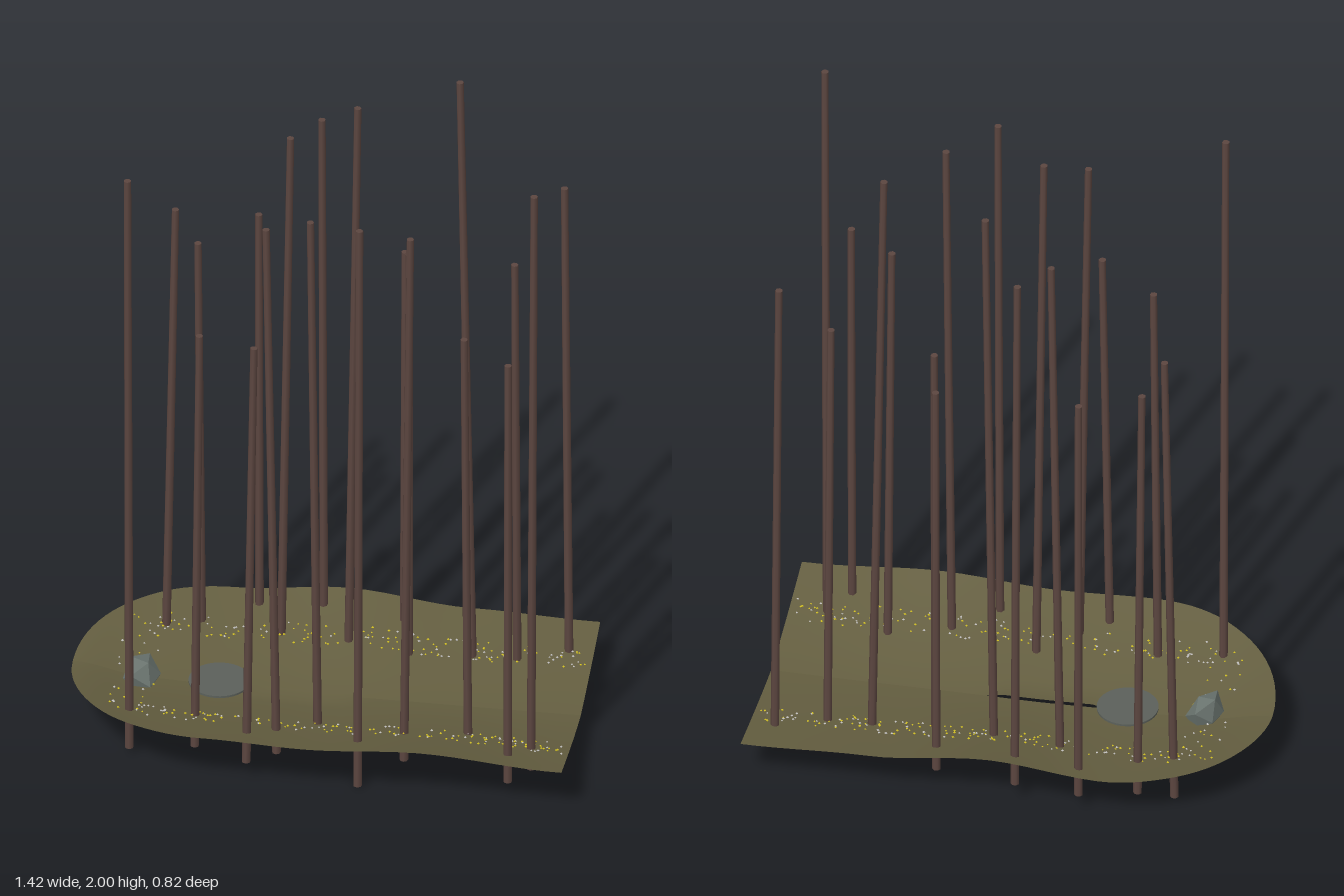
import * as THREE from 'three';
import { mergeGeometries } from 'three/addons/utils/BufferGeometryUtils.js';

const R = 0.41; // half width of the clearing
const ARC_X = -0.3; // centre of the rounded end

// Smooth interpolation through [x, y] points
function profile(points) {
  return (x) => {
    let i = 0;
    while (i < points.length - 2 && x > points[i + 1][0]) i++;
    const [a, b] = [points[i], points[i + 1]];
    return THREE.MathUtils.lerp(a[1], b[1], THREE.MathUtils.smoothstep(x, a[0], b[0]));
  };
}

// Heights of the valley floor and of its two rims
const floorY = profile([[-0.71, 0.145], [-0.5, 0.108], [-0.3, 0.1], [0, 0.092], [0.71, 0.086]]);
const frontRimY = profile([[-0.71, 0.21], [-0.3, 0.188], [0, 0.175], [0.3, 0.19], [0.71, 0.16]]);
const backRimY = profile([[-0.71, 0.19], [-0.3, 0.158], [0, 0.183], [0.35, 0.145], [0.71, 0.13]]);

function groundY(x, z) {
  const rim = z >= 0 ? frontRimY(x) : backRimY(x);
  const low = floorY(x);
  return low + (rim - low) * Math.pow(Math.abs(z) / R, 1.3);
}

// Small seeded random numbers
function seeded(seed) {
  return () => {
    seed = (seed * 16807) % 2147483647;
    return seed / 2147483647;
  };
}

// One half of the valley, from the centre line out to its rim
function groundHalf(side) {
  const columns = [];
  for (let i = 0; i < 20; i++) columns.push(ARC_X - R * Math.cos(0.02 + (i / 20) * (Math.PI / 2 - 0.02)));
  for (let i = 0; i <= 20; i++) columns.push(ARC_X + (i / 20) * (0.71 - ARC_X));
  const rows = 10;
  const position = [];
  const index = [];
  columns.forEach((x, i) => {
    const width = x < ARC_X ? Math.sqrt(R * R - (x - ARC_X) ** 2) : R;
    for (let j = 0; j <= rows; j++) {
      const z = (side * width * j) / rows;
      // narrow crack along the centre line
      const crack = side > 0 && j === 0 && x > -0.22 && x < 0.06 ? 0.01 : 0;
      position.push(x, groundY(x, z) + crack, z);
      if (i < columns.length - 1 && j < rows) {
        const a = i * (rows + 1) + j;
        const b = a + rows + 1;
        if (side > 0) index.push(a, a + 1, b, b, a + 1, b + 1);
        else index.push(a, b, a + 1, b, b + 1, a + 1);
      }
    }
  });
  const geometry = new THREE.BufferGeometry();
  geometry.setAttribute('position', new THREE.Float32BufferAttribute(position, 3));
  geometry.setIndex(index);
  geometry.computeVertexNormals();
  return geometry;
}

// Trunks: [base x, base z, base y, top x, top z, top y]
const BACK_TRUNKS = [
  [-0.235, -0.35, 0.06, -0.24, -0.373, 1.42],
  [-0.055, -0.35, 0.07, -0.058, -0.332, 1.775],
  [0.172, -0.328, 0.07, 0.176, -0.322, 1.365],
  [0.64, -0.28, 0.05, 0.625, -0.296, 1.63],
  [-0.482, -0.232, 0.005, -0.455, -0.238, 1.505],
  [-0.385, -0.268, 0.03, -0.394, -0.252, 1.39],
  [-0.16, -0.237, 0.07, -0.132, -0.228, 1.775],
  [0.03, -0.225, 0.06, 0.058, -0.213, 1.9],
  [0.202, -0.2, 0.06, 0.2, -0.225, 1.42],
  [0.378, -0.22, 0.06, 0.342, -0.228, 2.0],
  [0.502, -0.225, 0.07, 0.5, -0.19, 1.435],
];
const FRONT_TRUNKS = [
  [-0.521, 0.238, 0.03, -0.523, 0.26, 1.915],
  [-0.34, 0.222, 0.04, -0.328, 0.215, 1.39],
  [-0.183, 0.322, 0.065, -0.164, 0.303, 1.42],
  [-0.105, 0.272, 0.07, -0.138, 0.242, 1.775],
  [0.0, 0.192, 0.06, -0.018, 0.212, 1.79],
  [0.128, 0.318, 0.01, 0.132, 0.306, 1.835],
  [0.246, 0.232, 0.05, 0.265, 0.238, 1.775],
  [0.42, 0.19, 0.05, 0.41, 0.198, 1.43],
  [0.548, 0.32, 0.06, 0.546, 0.298, 1.42],
  [0.603, 0.246, 0.06, 0.616, 0.276, 1.97],
];

function trunkMesh([bx, bz, by, tx, tz, ty], material) {
  const base = new THREE.Vector3(bx, by, bz);
  const axis = new THREE.Vector3(tx, ty, tz).sub(base);
  const mesh = new THREE.Mesh(new THREE.CylinderGeometry(0.0105, 0.0125, axis.length(), 7), material);
  mesh.position.copy(base).addScaledVector(axis, 0.5);
  mesh.quaternion.setFromUnitVectors(new THREE.Vector3(0, 1, 0), axis.normalize());
  mesh.name = 'trunk';
  return mesh;
}

// Tiny blossoms along both banks and round the closed end
function flowers(count, seed) {
  const rand = seeded(seed);
  const parts = [];
  for (let i = 0; i < count; i++) {
    const pick = rand();
    let x, z;
    if (pick < 0.16) {
      x = -0.53 + (rand() - 0.5) * 0.12;
      z = (rand() - 0.5) * 0.5;
    } else {
      x = -0.5 + rand() * 1.2;
      z = (pick < 0.58 ? 1 : -1) * (0.235 + (rand() - 0.5) * 0.08);
    }
    const blossom = new THREE.OctahedronGeometry(0.003 + rand() * 0.0015);
    parts.push(blossom.translate(x, groundY(x, z) + 0.004, z));
  }
  return mergeGeometries(parts);
}

// Faceted boulder with uneven corners
function boulderGeometry() {
  const geometry = new THREE.IcosahedronGeometry(1, 0);
  const p = geometry.attributes.position;
  const v = new THREE.Vector3();
  for (let i = 0; i < p.count; i++) {
    v.fromBufferAttribute(p, i);
    v.multiplyScalar(1 + 0.16 * Math.sin(v.x * 5.1 + v.y * 3.7 + v.z * 7.3));
    p.setXYZ(i, v.x * 0.05, v.y * 0.064, v.z * 0.066);
  }
  geometry.computeVertexNormals();
  return geometry;
}

export function createModel() {
  const material = (name, color, extra = {}) => {
    const m = new THREE.MeshStandardMaterial({ color, ...extra });
    m.name = name;
    return m;
  };
  const moss = material('moss', 0x645e40, { side: THREE.DoubleSide });
  const bark = material('bark', 0x5c4640);
  const stone = material('stone', 0x6a746f, { flatShading: true });
  const water = material('water', 0x5b605a);
  const yellow = material('yellow petals', 0xd2c024);
  const pale = material('pale petals', 0xc4c2c0);

  const model = new THREE.Group();
  model.name = 'forestClearing';
  const add = (name, geometry, mat, parent = model) => {
    const mesh = new THREE.Mesh(geometry, mat);
    mesh.name = name;
    parent.add(mesh);
    return mesh;
  };

  // Valley floor
  const ground = new THREE.Group();
  ground.name = 'ground';
  add('frontBank', groundHalf(1), moss, ground);
  add('backBank', groundHalf(-1), moss, ground);
  model.add(ground);

  // Pool and boulder
  add('pool', new THREE.CylinderGeometry(0.086, 0.086, 0.006, 40), water).position.set(-0.3, 0.115, 0);
  const boulder = add('boulder', boulderGeometry(), stone);
  boulder.position.set(-0.52, 0.117, 0.012);
  boulder.rotation.y = -0.3;

  // Bare trunks on both banks
  const trunks = new THREE.Group();
  trunks.name = 'trunks';
  [...BACK_TRUNKS, ...FRONT_TRUNKS].forEach((t) => trunks.add(trunkMesh(t, bark)));
  model.add(trunks);

  // Blossoms
  add('yellowFlowers', flowers(230, 11), yellow);
  add('paleFlowers', flowers(150, 977), pale);

  return model;
}
